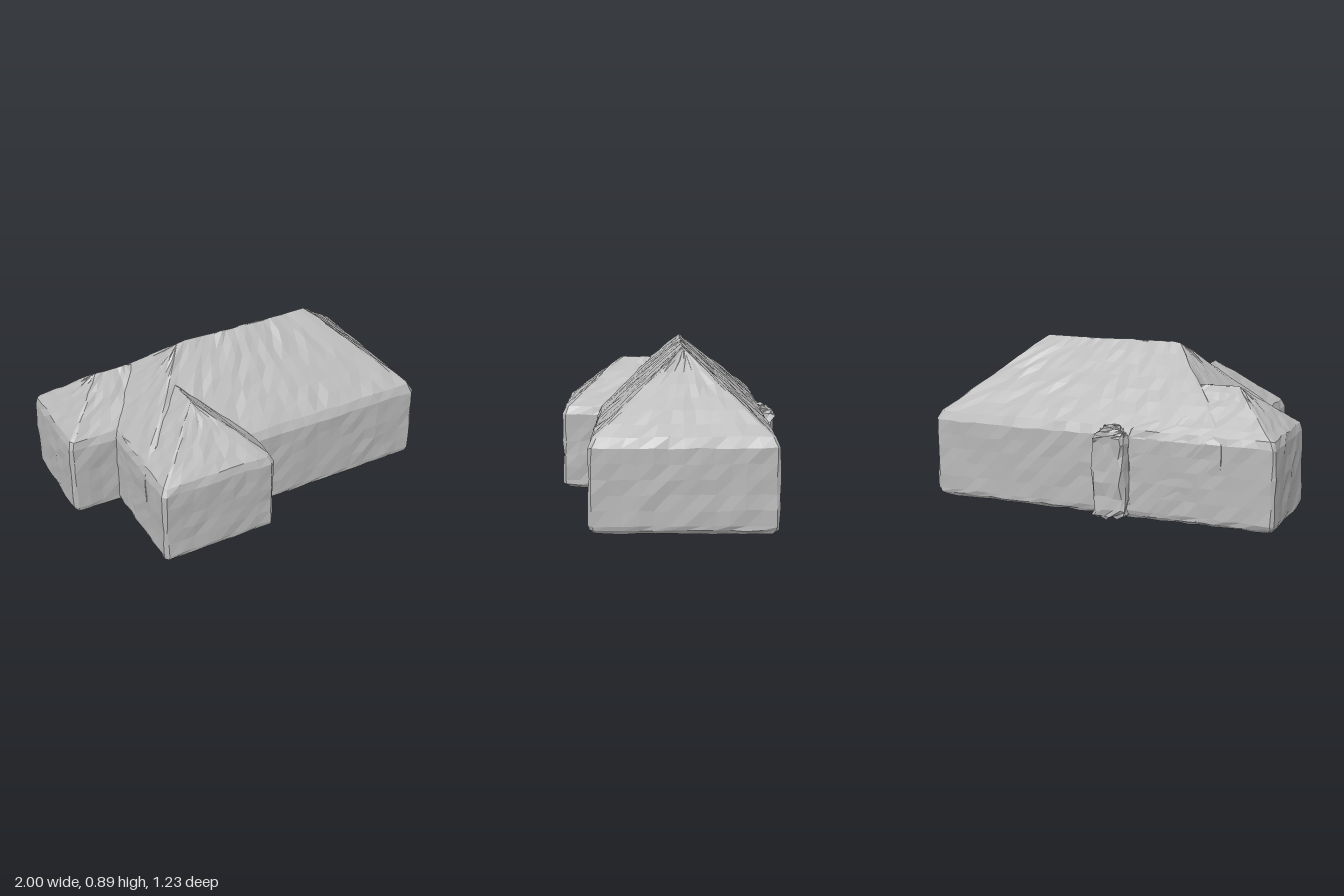
import * as THREE from 'three';

const plaster = new THREE.MeshStandardMaterial({ color: 0xb8b8b8 });
plaster.name = 'plain grey';

// Repeatable roughness: the same position always gives the same offset
function rough(p, salt) {
  const k = [p.x, p.y, p.z].map((v) => Math.round((v + 10) * 500));
  const s = Math.sin(k[0] * 12.9898 + k[1] * 78.233 + k[2] * 37.719 + salt * 4.1) * 43758.5453;
  return (s - Math.floor(s) - 0.5) * 2;
}

// Points round a rectangle with clipped corners, counter-clockwise from above
function ring(x0, x1, z0, z1, y, cut, nx, nz) {
  const sides = [
    [[x0 + cut, z1], [x1 - cut, z1], nx],
    [[x1, z1 - cut], [x1, z0 + cut], nz],
    [[x1 - cut, z0], [x0 + cut, z0], nx],
    [[x0, z0 + cut], [x0, z1 - cut], nz],
  ];
  const points = [];
  for (const [a, b, n] of sides) {
    for (let i = 0; i <= n; i++) {
      const t = i / n;
      points.push(new THREE.Vector3(a[0] + (b[0] - a[0]) * t, y, a[1] + (b[1] - a[1]) * t));
    }
  }
  return points;
}

// Walls and hipped roof lofted as one block
function hippedBlock(name, { x0, x1, z0, z1, eave, top, left, right, front, back, jitter = 0.005 }) {
  const nx = Math.max(3, Math.round((x1 - x0) / 0.08));
  const nz = Math.max(3, Math.round((z1 - z0) / 0.08));
  const inset = (d, y) => ring(x0 + d, x1 - d, z0 + d, z1 - d, y, 0.018, nx, nz);
  const rings = [inset(0.022, 0.012), inset(0.004, 0.03)];
  for (let i = 0; i <= 5; i++) rings.push(inset(0, 0.055 + (eave - 0.085) * i / 5));
  const steps = 7;
  for (let i = 0; i <= steps; i++) {
    const f = 0.05 + 0.95 * i / steps;
    rings.push(ring(x0 + left * f, x1 - right * f, z0 + back * f, z1 - front * f,
      eave + (top - eave) * f, 0.018 * (1 - f), nx, nz));
  }

  const positions = [];
  const add = (...pts) => pts.forEach((p) => positions.push(
    p.x + jitter * rough(p, 1),
    Math.max(0, p.y + jitter * rough(p, 2)),
    p.z + jitter * rough(p, 3)));
  const n = rings[0].length;
  for (let r = 0; r < rings.length - 1; r++) {
    for (let i = 0; i < n; i++) {
      const j = (i + 1) % n;
      const [a, b, c, d] = [rings[r][i], rings[r][j], rings[r + 1][j], rings[r + 1][i]];
      add(a, b, c, a, c, d);
    }
  }
  // Floor and the closing cap
  const last = rings[rings.length - 1];
  const middle = (pts) => pts.reduce((s, p) => s.add(p), new THREE.Vector3()).divideScalar(n);
  const low = middle(rings[0]);
  const high = middle(last);
  for (let i = 0; i < n; i++) {
    const j = (i + 1) % n;
    add(low, rings[0][j], rings[0][i]);
    add(high, last[i], last[j]);
  }

  const geometry = new THREE.BufferGeometry();
  geometry.setAttribute('position', new THREE.Float32BufferAttribute(positions, 3));
  geometry.computeVertexNormals(); // unshared corners keep each facet flat
  const mesh = new THREE.Mesh(geometry, plaster);
  mesh.name = name;
  return mesh;
}

export function createModel() {
  const model = new THREE.Group();
  model.name = 'house';
  const building = new THREE.Group();
  building.name = 'building';
  building.rotation.y = -0.056; // the plan sits slightly askew
  model.add(building);

  building.add(
    hippedBlock('mainHouse', {
      x0: -0.735, x1: 0.965, z0: -0.536, z1: 0.41, eave: 0.475, top: 0.89,
      left: 0.42, right: 0.475, front: 0.473, back: 0.473,
    }),
    hippedBlock('frontWing', {
      x0: -0.737, x1: -0.085, z0: -0.4, z1: 0.615, eave: 0.475, top: 0.745,
      left: 0.326, right: 0.326, front: 0.325, back: 0.325,
    }),
    hippedBlock('sideWing', {
      x0: -1.003, x1: -0.2, z0: -0.538, z1: 0.015, eave: 0.475, top: 0.705,
      left: 0.28, right: 0.27, front: 0.2765, back: 0.2765,
    }),
    // Shallow stack against the back wall
    hippedBlock('backStack', {
      x0: -0.21, x1: -0.03, z0: -0.605, z1: -0.43, eave: 0.45, top: 0.5,
      left: 0.05, right: 0.05, front: 0.02, back: 0.08, jitter: 0.012,
    }),
  );
  return model;
}
